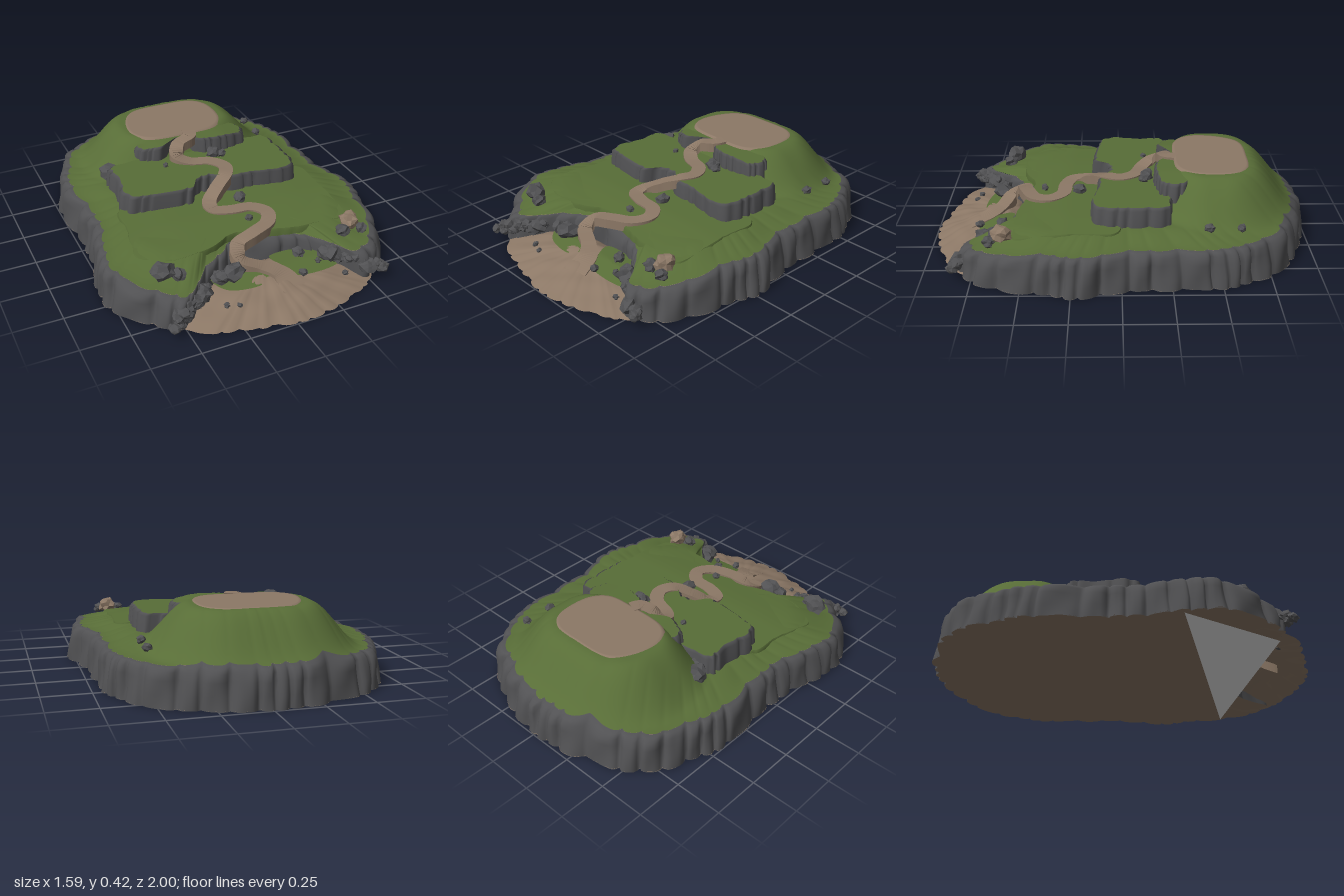
import * as THREE from 'three';

const material = (name, color) => Object.assign(new THREE.MeshStandardMaterial({ color }), { name });
const grass = material('grass', 0x586d37);
const rock = material('rock', 0x515153);
const dirt = material('dirt', 0x8c7866);
const pale = material('pale', 0xffffff);
dirt.side = THREE.DoubleSide;

const V = (x, y, z) => new THREE.Vector3(x, y, z);
const step = THREE.MathUtils.smoothstep;
let seed = 7;
const random = () => (seed = (seed * 16807) % 2147483647) / 2147483647;

// Closed smooth outline from [x, z] pairs, running back, +x, front, -x
function outline(pairs, n, tension = 0.5) {
  const curve = new THREE.CatmullRomCurve3(pairs.map(([x, z]) => V(x, 0, z)), true, 'catmullrom', tension);
  return curve.getSpacedPoints(n).slice(0, n);
}

// Moves every outline point towards the centre by a distance that may vary along it
function inset(points, centre, amount) {
  return points.map((p, i) => {
    const inward = centre.clone().sub(p).normalize();
    return p.clone().addScaledVector(inward, typeof amount === 'function' ? amount(i) : amount);
  });
}

const raise = (points, height) => points.map((p) => V(p.x, height(p.x, p.z), p.z));

// Skin through closed rings of equal length
function loft(name, rings, mat) {
  const n = rings[0].length, index = [];
  for (let j = 0; j < rings.length - 1; j++) {
    for (let i = 0; i < n; i++) {
      const a = j * n + i, b = j * n + (i + 1) % n, c = a + n, d = b + n;
      index.push(a, c, b, b, c, d);
    }
  }
  const geometry = new THREE.BufferGeometry().setFromPoints(rings.flat());
  geometry.setIndex(index);
  geometry.computeVertexNormals();
  const mesh = new THREE.Mesh(geometry, mat);
  mesh.name = name;
  return mesh;
}

// Surface filling an outline, draped over a height rule
function cap(name, edge, centre, height, mat, steps = 8) {
  const rings = [];
  for (let j = 0; j <= steps; j++) {
    const t = Math.max(1 - j / steps, 0.0005);
    rings.push(edge.map((p) => {
      const q = centre.clone().lerp(p, t);
      return V(q.x, height(q.x, q.z, t), q.z);
    }));
  }
  return loft(name, rings, mat);
}

// Bulging rock columns separated by sharp grooves: 0 on a bulge, 1 in a groove
const groove = (i, n, count) => {
  const u = (i / n) * Math.PI * 2;
  const phase = (u * count) / 2 + 1.3 * Math.sin(u * 7) + 0.8 * Math.sin(u * 13 + 1);
  return Math.pow(1 - Math.abs(Math.sin(phase)), 2);
};

// Distance outside the rounded plateau on top of the hill
function plateauDistance(x, z) {
  const dz = z + 0.485;
  const qx = Math.abs(x + 0.03) - 0.13, qz = Math.abs(dz) * (dz > 0 ? 1.3 : 1) - 0.05;
  return Math.hypot(Math.max(qx, 0), Math.max(qz, 0)) + Math.min(Math.max(qx, qz), 0) - 0.15;
}
const ground = (x, z, t = 0) =>
  0.22 - 0.05 * step(z, 0.35, 0.85) - 0.035 * step(t, 0.72, 1)
  + 0.187 * (1 - step(plateauDistance(x, z), 0.01, 0.27));

// Raised ledge with a cliff around it and a grass top
function terrace(name, pairs, centre, bottom, top, side, depth) {
  const n = 200, group = new THREE.Group();
  group.name = name;
  const base = outline(pairs, n, 0.3);
  const ring = (amount, rough) => inset(base, centre, (i) => amount + rough * groove(i, n, 26));
  const low = raise(ring(0, depth), () => bottom);
  const high = raise(ring(depth * 0.5, depth), (x, z) => top(x, z) - 0.012);
  const lip = raise(ring(depth * 1.4, depth * 0.6), top);
  group.add(loft('cliff', [low, high, lip], side), cap('grassTop', lip, centre, top, grass));
  return group;
}

// Irregular faceted stone
function stone(x, y, z, size, mat = rock) {
  const geometry = new THREE.IcosahedronGeometry(size, 1);
  const p = geometry.attributes.position, s = random() * 9;
  for (let i = 0; i < p.count; i++) {
    const v = V(0, 0, 0).fromBufferAttribute(p, i);
    const k = 1 + 0.2 * Math.sin((v.x * 3 + v.y * 5 + v.z * 4) / size + s);
    p.setXYZ(i, v.x * k * 1.1, v.y * k * 0.85, v.z * k * 0.9);
  }
  geometry.computeVertexNormals();
  const mesh = new THREE.Mesh(geometry, mat);
  mesh.name = 'stone';
  mesh.position.set(x, y, z);
  mesh.rotation.y = random() * 6;
  return mesh;
}

export function createModel() {
  seed = 7;
  const model = new THREE.Group();
  model.name = 'terracedHill';

  // Main body: rock wall around a domed grass surface, with a bay at the front
  const n = 480, centre = V(0, 0, 0);
  const shore = outline([
    [0, -1], [0.2, -0.97], [0.38, -0.9], [0.55, -0.8], [0.62, -0.68], [0.69, -0.55], [0.71, -0.35],
    [0.72, -0.1], [0.74, 0.05], [0.79, 0.2], [0.75, 0.38], [0.72, 0.55], [0.68, 0.67], [0.58, 0.79],
    [0.48, 0.83], [0.41, 0.74], [0.3, 0.64], [0.17, 0.58], [0, 0.55], [-0.1, 0.53], [-0.19, 0.6],
    [-0.32, 0.66], [-0.42, 0.76], [-0.52, 0.82], [-0.62, 0.74], [-0.72, 0.64], [-0.79, 0.5], [-0.79, 0.35],
    [-0.75, 0.18], [-0.73, 0], [-0.74, -0.15], [-0.75, -0.4], [-0.7, -0.58], [-0.63, -0.75],
    [-0.52, -0.86], [-0.35, -0.93], [-0.2, -0.98]], n);
  const edgeHeight = (x, z) => ground(x, z, 1);
  const wall = [[0, 0, 0.025], [0.35, 0.008, 0.03], [0.7, 0.016, 0.032], [0.9, 0.026, 0.03], [1, 0.046, 0.025], [1.02, 0.07, 0.018]]
    .map(([level, amount, rough]) => raise(
      inset(shore, centre, (i) => amount + rough * groove(i, n, 52) + 0.006 * Math.sin(i * 0.31 + level * 5)),
      (x, z) => edgeHeight(x, z) * level));
  const rim = wall[wall.length - 1];
  model.add(loft('outerCliff', wall, rock));
  model.add(cap('grassSurface', rim, centre, (x, z, t) => ground(x, z, t) + 0.004, grass, 40));
  const middle = shore.map(() => V(0, 0.004, 0));
  model.add(loft('underside', [middle, raise(wall[0], () => 0.004)], dirt));
  const patch = new THREE.BufferGeometry().setFromPoints([V(0.7, 0, 0.57), V(-0.75, 0, 0.32), V(-0.42, 0, 0.8)]);
  patch.computeVertexNormals();
  if (patch.attributes.normal.getY(0) > 0) patch.setIndex([0, 2, 1]);
  patch.computeVertexNormals();
  const undersidePatch = new THREE.Mesh(patch, pale);
  undersidePatch.name = 'undersidePatch';
  model.add(undersidePatch);

  // Three ledges climbing to the plateau
  model.add(terrace('lowerTerrace', [[-0.5, 0], [0.5, 0], [0.55, 0.2], [0.55, 0.53], [0.45, 0.55], [0.25, 0.55],
    [0.12, 0.52], [-0.1, 0.48], [-0.25, 0.54], [-0.45, 0.55], [-0.61, 0.45], [-0.57, 0.2]],
    V(0, 0, 0.25), 0.17, (x, z) => 0.237 - 0.03 * step(z, 0.25, 0.6) - 0.012 * step(Math.abs(x), 0.3, 0.6), grass, 0.008));
  model.add(terrace('middleTerrace', [[-0.5, -0.26], [0, -0.3], [0.4, -0.26], [0.47, -0.25], [0.48, -0.05],
    [0.47, 0.12], [0.38, 0.16], [0.2, 0.13], [0.07, 0.13], [-0.02, 0.08], [-0.13, 0.09], [-0.18, 0.16],
    [-0.35, 0.14], [-0.5, 0.11], [-0.54, 0.04], [-0.51, -0.12]], V(-0.03, 0, -0.08), 0.2, () => 0.322, rock, 0.022));
  model.add(terrace('upperLedge', [[-0.26, -0.42], [0.2, -0.42], [0.33, -0.3], [0.3, -0.2], [0.16, -0.17],
    [0.05, -0.18], [-0.03, -0.24], [-0.12, -0.25], [-0.22, -0.2], [-0.33, -0.25], [-0.33, -0.36]],
    V(-0.02, 0, -0.33), 0.29, (x) => 0.404 - 0.02 * step(Math.abs(x), 0.15, 0.33), rock, 0.02));

  // Bare plateau
  const plateau = outline([[-0.2, -0.67], [0, -0.685], [0.16, -0.67], [0.24, -0.58], [0.24, -0.4], [0.16, -0.3],
    [0, -0.285], [-0.22, -0.3], [-0.31, -0.4], [-0.29, -0.56]], 96);
  model.add(cap('plateau', plateau, V(-0.03, 0, -0.48), (x, z, t) => (t === 1 ? 0.404 : 0.414), dirt, 24));

  // Beach sloping out of the bay, with grass patches at its head
  const beachCentre = V(0, 0, 0.62);
  const beach = inset(outline([[-0.3, 0.5], [0.3, 0.5], [0.56, 0.68], [0.52, 0.83], [0.4, 0.91], [0.24, 0.97], [0.05, 1],
    [-0.1, 0.98], [-0.25, 0.94], [-0.4, 0.9], [-0.5, 0.82], [-0.56, 0.68]], 160), beachCentre,
    (i) => 0.02 * groove(i, 160, 22));
  const beachHeight = (x, z, t) => 0.1 * (1 - Math.pow(t, 1.6))
    + 0.006 * Math.sin(x * 26 + z * 9) * Math.sin(z * 34) * t * (1 - t) * 4;
  model.add(cap('beach', beach, beachCentre, beachHeight, dirt, 20));
  const patchHeight = (x, z) => 0.106 - 0.3 * Math.max(z - 0.66, 0) - 0.03 * Math.abs(x);
  [[[-0.28, 0.62], [-0.06, 0.6], [0, 0.7], [-0.08, 0.75], [-0.24, 0.72]],
    [[0.06, 0.58], [0.24, 0.58], [0.4, 0.7], [0.33, 0.75], [0.14, 0.75], [0.09, 0.68]]].forEach((pairs, k) => {
    model.add(cap('bayGrass', outline(pairs, 40), V(k ? 0.2 : -0.13, 0, 0.67), patchHeight, grass, 6));
  });

  // Winding path with skirts that bury its sides
  const path = new THREE.CatmullRomCurve3([
    [0, 0.417, -0.3], [-0.02, 0.414, -0.25], [-0.1, 0.395, -0.22], [-0.125, 0.352, -0.17], [-0.07, 0.33, -0.12],
    [0.03, 0.329, -0.08], [0.08, 0.329, 0], [0.05, 0.327, 0.08], [-0.03, 0.295, 0.14], [-0.1, 0.255, 0.2],
    [-0.1, 0.243, 0.26], [-0.02, 0.242, 0.295], [0.09, 0.24, 0.31], [0.145, 0.238, 0.38], [0.11, 0.232, 0.46],
    [0, 0.224, 0.51], [-0.1, 0.2, 0.54], [-0.11, 0.155, 0.6], [-0.02, 0.118, 0.65], [0.05, 0.1, 0.71], [0.08, 0.06, 0.82],
  ].map((p) => V(...p)));
  const sections = [];
  for (let i = 0; i <= 160; i++) {
    const p = path.getPointAt(i / 160), d = path.getTangentAt(i / 160);
    const side = V(d.z, 0, -d.x).normalize().multiplyScalar(0.038 + 0.03 * step(i, 140, 160));
    const left = p.clone().add(side), right = p.clone().sub(side), down = V(0, -0.05, 0);
    sections.push([left, right, right.clone().add(down), left.clone().add(down)]);
  }
  const pathMesh = loft('path', sections, dirt);
  pathMesh.geometry = pathMesh.geometry.toNonIndexed();
  pathMesh.geometry.computeVertexNormals();
  model.add(pathMesh);

  // Loose boulders
  const stones = new THREE.Group();
  stones.name = 'stones';
  [[-0.47, 0.25, -0.31, 0.055], [-0.41, 0.25, -0.25, 0.035], [0.5, 0.235, -0.6, 0.023], [0.5, 0.235, -0.44, 0.025],
    [0.08, 0.34, -0.14, 0.037], [0.12, 0.335, -0.12, 0.025], [-0.21, 0.33, -0.13, 0.015], [0.07, 0.25, 0.22, 0.034],
    [0.03, 0.245, 0.41, 0.02], [-0.53, 0.21, 0.61, 0.055], [-0.46, 0.19, 0.64, 0.035], [0.45, 0.19, 0.64, 0.035],
    [0.55, 0.19, 0.66, 0.03], [-0.18, 0.13, 0.66, 0.055], [-0.25, 0.12, 0.66, 0.04], [0.16, 0.09, 0.755, 0.022],
    [0.27, 0.1, 0.71, 0.015], [-0.28, 0.06, 0.8, 0.015], [-0.22, 0.055, 0.82, 0.014], [0.38, 0.05, 0.8, 0.015],
    [0.2, 0.12, 0.63, 0.03]].forEach((s) => stones.add(stone(...s)));
  stones.add(stone(0.51, 0.215, 0.6, 0.05, dirt));

  // Rubble along both arms of the bay
  for (const s of [-1, 1]) {
    for (let i = 0; i < 12; i++) {
      const t = i / 11;
      stones.add(stone(s * (0.33 + 0.22 * t + 0.03 * random()), 0.1 - 0.055 * t + 0.03 * random(),
        0.69 + 0.13 * t + 0.03 * random(), 0.022 + 0.025 * random()));
    }
  }
  model.add(stones);
  return model;
}
